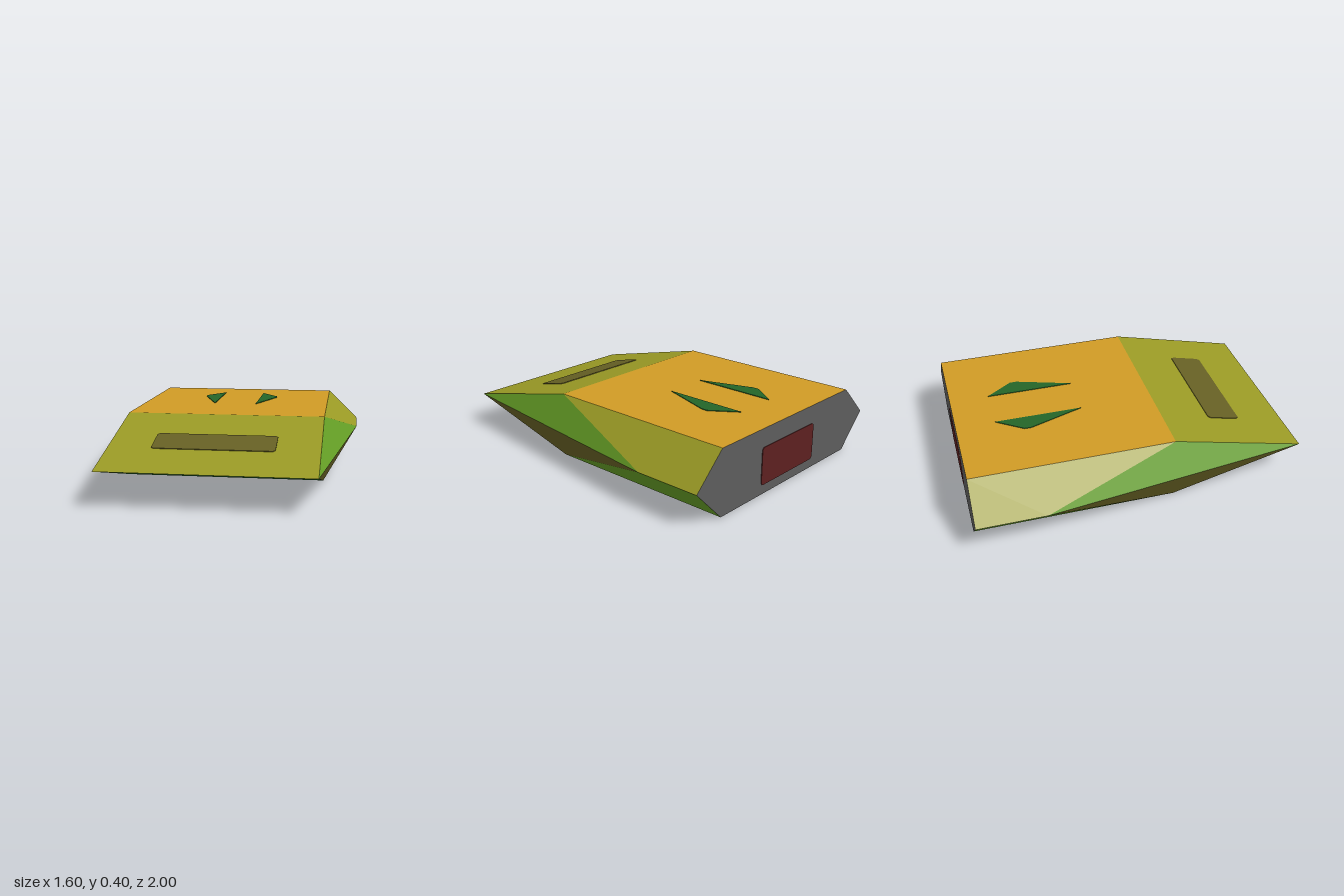
import * as THREE from 'three';

const paint = (name, color) => {
  const m = new THREE.MeshStandardMaterial({ color });
  m.name = name;
  return m;
};

// Hull stations
const TOP = 0.392, MID = 0.2, NOSE_Z = 1, RIDGE_Z = 0.2, BACK_Z = -1;

export function createModel() {
  const model = new THREE.Group();
  model.name = 'wedgeShip';

  const orange = paint('deck orange', 0xd09b25);
  const olive = paint('olive yellow', 0x9a9a25);
  const green = paint('leaf green', 0x66a026);
  const darkGreen = paint('dark green', 0x246528);
  const brown = paint('olive brown', 0x666024);
  const grey = paint('engine grey', 0x5c5c5c);
  const red = paint('engine red', 0x5c2020);

  // Flat convex panel from corners listed counter-clockwise seen from outside
  const panel = (name, material, corners) => {
    const g = new THREE.BufferGeometry();
    g.setAttribute('position', new THREE.Float32BufferAttribute(corners.flat(), 3));
    const index = [];
    for (let i = 1; i < corners.length - 1; i++) index.push(0, i, i + 1);
    g.setIndex(index);
    g.computeVertexNormals();
    const mesh = new THREE.Mesh(g, material);
    mesh.name = name;
    model.add(mesh);
  };

  // Corners on the left (+x) side; flip() gives the right side
  const nose = [0.6, MID, NOSE_Z];
  const topRidge = [0.6, TOP, RIDGE_Z], topBack = [0.6, TOP, BACK_Z];
  const lowRidge = [0.6, 0, RIDGE_Z], lowBack = [0.6, 0, BACK_Z];
  const tip = [0.8, MID, -0.6], tipBack = [0.8, MID, BACK_Z];
  const flip = ([x, y, z]) => [-x, y, z];

  // Centre panels
  panel('topDeck', orange, [topRidge, topBack, flip(topBack), flip(topRidge)]);
  panel('upperNose', olive, [nose, topRidge, flip(topRidge), flip(nose)]);
  panel('lowerNose', darkGreen, [lowRidge, nose, flip(nose), flip(lowRidge)]);
  panel('belly', brown, [lowBack, lowRidge, flip(lowRidge), flip(lowBack)]);
  panel('sternWall', grey,
    [topBack, tipBack, lowBack, flip(lowBack), flip(tipBack), flip(topBack)]);

  // Side panels, mirrored
  const sides = [
    ['UpperFrontSide', green, [nose, tip, topRidge]],
    ['UpperRearSide', olive, [topRidge, tip, tipBack, topBack]],
    ['LowerFrontSide', brown, [nose, lowRidge, tip]],
    ['LowerRearSide', green, [lowRidge, lowBack, tipBack, tip]],
  ];
  for (const [name, material, corners] of sides) {
    panel('left' + name, material, corners);
    panel('right' + name, material, corners.map(flip).reverse());
  }

  // Thin painted plates, drawn in xy and facing +z before placing
  const plate = (name, material, points) => {
    const shape = new THREE.Shape(points.map(([x, y]) => new THREE.Vector2(x, y)));
    const g = new THREE.ExtrudeGeometry(shape, { depth: 0.004, bevelEnabled: false });
    const mesh = new THREE.Mesh(g, material);
    mesh.name = name;
    model.add(mesh);
    return mesh;
  };
  const clippedRect = (w, h, c) => [
    [-w + c, -h], [w - c, -h], [w, -h + c], [w, h - c],
    [w - c, h], [-w + c, h], [-w, h - c], [-w, -h + c],
  ];

  // Deck windows
  for (const s of [1, -1]) {
    const points = [[0.135, 0.245], [0.245, 0.57], [0.245, 0.61], [0.135, 0.765]];
    const w = plate(s > 0 ? 'leftDeckWindow' : 'rightDeckWindow', darkGreen,
      points.map(([x, y]) => [s * x, y]));
    w.rotation.x = -Math.PI / 2;
    w.position.y = TOP;
  }

  // Panel on the nose slope
  const slope = Math.atan2(TOP - MID, NOSE_Z - RIDGE_Z);
  const nosePanel = plate('nosePanel', brown, clippedRect(0.35, 0.1 / Math.cos(slope), 0.015));
  nosePanel.rotation.x = -Math.PI / 2 + slope;
  nosePanel.position.set(0, (TOP + MID) / 2, 0.6);

  // Engine outlet on the stern
  const engine = plate('engineOutlet', red, clippedRect(0.25, 0.112, 0.012));
  engine.rotation.y = Math.PI;
  engine.position.set(0, 0.168, BACK_Z);

  return model;
}
